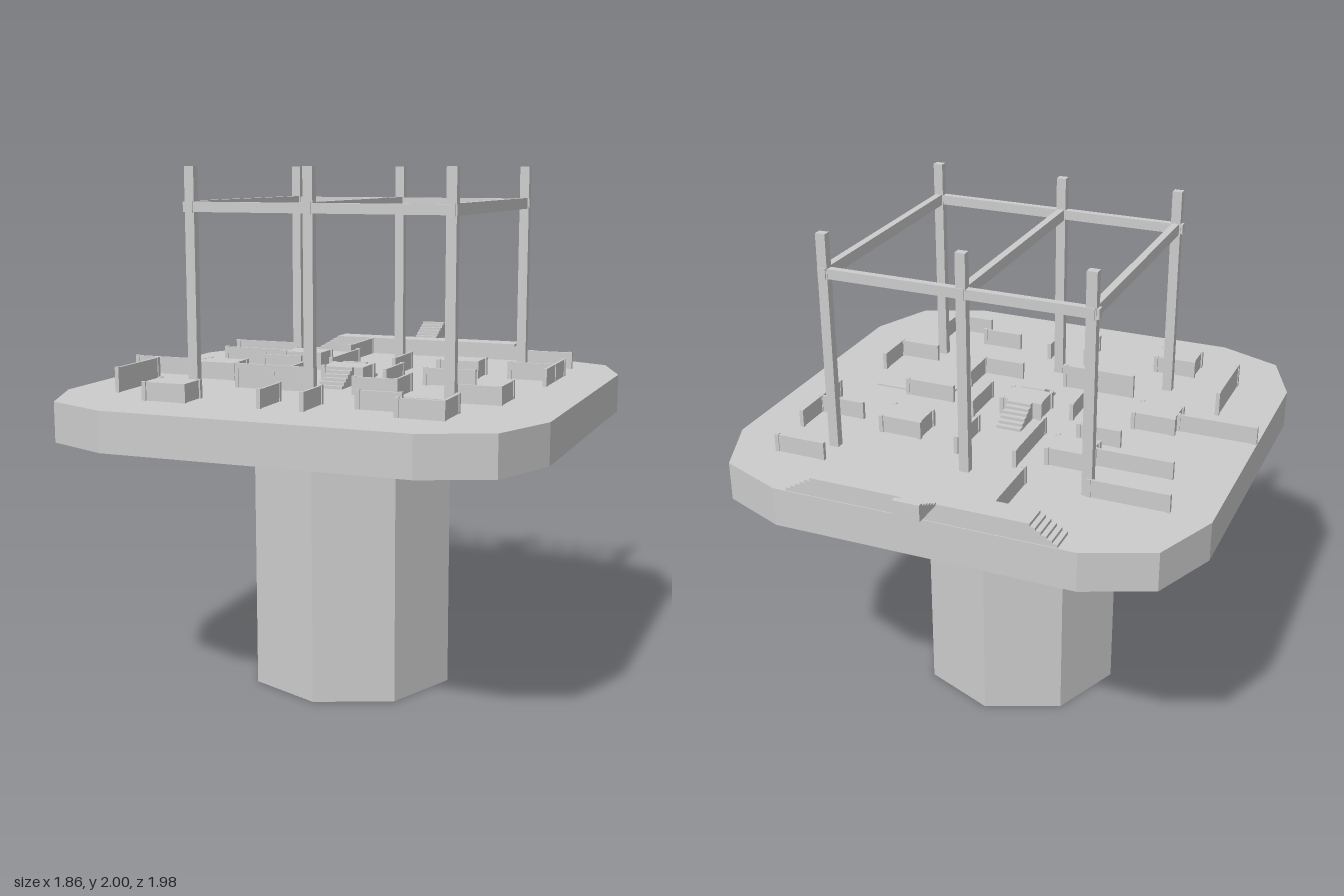
import * as THREE from 'three';

const FLOOR = 1.17, WALL_TOP = 1.24;
const material = new THREE.MeshStandardMaterial({ color: 0xcccccc, flatShading: true });

export function createModel() {
  const model = new THREE.Group();

  const add = (parent, name, geometry) => {
    const mesh = new THREE.Mesh(geometry, material);
    mesh.name = name;
    parent.add(mesh);
    return mesh;
  };
  // Box given by its limits on each axis
  const box = (parent, name, x0, x1, y0, y1, z0, z1) => {
    add(parent, name, new THREE.BoxGeometry(x1 - x0, y1 - y0, z1 - z0))
      .position.set((x0 + x1) / 2, (y0 + y1) / 2, (z0 + z1) / 2);
  };
  const group = (name) => {
    const g = new THREE.Group();
    g.name = name;
    model.add(g);
    return g;
  };

  // Octagonal supporting column
  add(model, 'column', new THREE.CylinderGeometry(0.405, 0.405, 1.02, 8)).position.set(0, 0.51, 0.063);

  // Slab with double-chamfered corners
  const corner = [[0.93, 0.57], [0.825, 0.825], [0.575, 0.93]];
  const mirrored = [...corner].reverse();
  const outline = [
    ...corner,
    ...mirrored.map(([x, y]) => [-x, y]),
    ...corner.map(([x, y]) => [-x, -y]),
    ...mirrored.map(([x, y]) => [x, -y]),
  ].map(([x, y]) => new THREE.Vector2(x, y));
  const slab = add(model, 'slab', new THREE.ExtrudeGeometry(new THREE.Shape(outline),
    { depth: FLOOR - 1.02, bevelEnabled: false }));
  slab.rotation.x = -Math.PI / 2;
  slab.position.set(0, 1.02, 0.056);

  // Overhead frame: six posts joined by beams
  const frame = group('overheadFrame');
  const postX = [-0.472, 0, 0.535], postZ = [-0.487, 0.472];
  for (const x of postX) {
    for (const z of postZ) box(frame, 'post', x - 0.019, x + 0.019, FLOOR, 2, z - 0.016, z + 0.016);
    box(frame, 'crossBeam', x - 0.014, x + 0.014, 1.832, 1.875, -0.508, 0.492);
  }
  for (const z of postZ) box(frame, 'longBeam', -0.5, 0.556, 1.835, 1.872, z - 0.014, z + 0.014);

  // Low walls with a slim stud at each end: [x0, z0, x1, z1, top]
  const walls = group('lowWalls');
  const wall = (x0, z0, x1, z1, top = WALL_TOP) => {
    const t = 0.005, s = 0.008;
    box(walls, 'wall', x0 - t, x1 + t, FLOOR, top - 0.002, z0 - t, z1 + t);
    for (const [x, z] of [[x0, z0], [x1, z1]]) box(walls, 'wallStud', x - s, x + s, FLOOR, top, z - s, z + s);
  };
  [
    [-0.77, -0.5, -0.48, -0.5], [-0.235, -0.77, -0.235, -0.5],
    [-0.71, -0.267, -0.42, -0.267], [-0.455, -0.1, -0.295, -0.1],
    [-0.155, -0.395, -0.155, -0.1], [0.087, -0.375, 0.087, -0.18],
    [0.162, -0.065, 0.162, 0.125], [0.29, 0.027, 0.485, 0.027],
    [0.52, -0.61, 0.71, -0.61], [0.73, -0.395, 0.73, -0.1],
    [0.55, -0.247, 0.73, -0.247], [-0.92, 0.122, -0.62, 0.122],
    [-0.21, 0.053, -0.21, 0.34], [-0.36, 0.34, -0.075, 0.34, 1.265],
    [-0.722, 0.315, -0.722, 0.61, 1.265], [-0.077, 0.58, -0.077, 0.742],
    [0.087, 0.58, 0.087, 0.742], [0.247, 0.628, 0.405, 0.628],
    [0.12, 0.343, 0.285, 0.343], [0.285, 0.19, 0.285, 0.343],
    [0.525, 0.378, 0.688, 0.378], [0.688, 0.22, 0.688, 0.378],
    [0.43, 0.735, 0.595, 0.735], [0.595, 0.58, 0.595, 0.735],
  ].forEach((w) => wall(...w));

  // Square floor plate
  box(model, 'floorPlate', 0.32, 0.643, FLOOR, FLOOR + 0.006, 0.055, 0.363);

  // Small huts with corner studs
  const huts = group('huts');
  for (const [x, z] of [[-0.335, -0.273], [0.347, -0.262], [-0.534, 0.131], [-0.454, 0.681], [-0.016, 0.063]]) {
    box(huts, 'hut', x - 0.082, x + 0.082, FLOOR, WALL_TOP - 0.002, z - 0.06, z + 0.06);
    for (const sx of [-1, 1]) for (const sz of [-1, 1]) {
      const cx = x + sx * 0.08, cz = z + sz * 0.058;
      box(huts, 'hutStud', cx - 0.008, cx + 0.008, FLOOR, WALL_TOP, cz - 0.008, cz + 0.008);
    }
  }

  // Stair flight as an extruded step profile, rising along its local +x
  const stairs = (name, run, rise, width, steps, x, y, z, turn) => {
    const shape = new THREE.Shape().moveTo(0, 0);
    for (let i = 0; i < steps; i++) {
      shape.lineTo((i * run) / steps, ((i + 1) * rise) / steps);
      shape.lineTo(((i + 1) * run) / steps, ((i + 1) * rise) / steps);
    }
    shape.lineTo(run, 0);
    const geometry = new THREE.ExtrudeGeometry(shape, { depth: width, bevelEnabled: false });
    geometry.translate(0, 0, -width / 2);
    const mesh = add(model, name, geometry);
    mesh.position.set(x, y, z);
    mesh.rotation.y = turn;
  };
  const rise = WALL_TOP - FLOOR;
  stairs('frontStairs', 0.125, rise, 0.1, 6, -0.016, FLOOR, 0.252, Math.PI / 2);
  stairs('backStairs', 0.125, rise, 0.1, 6, -0.016, FLOOR, -0.125, -Math.PI / 2);

  // Raised walkway along the back, stairs at both ends and a flight leading outwards
  box(model, 'walkway', -0.385, 0.405, FLOOR, WALL_TOP, -0.87, -0.772);
  stairs('walkwayStairsRight', 0.12, rise, 0.098, 6, -0.505, FLOOR, -0.821, 0);
  stairs('walkwayStairsLeft', 0.12, rise, 0.098, 6, 0.525, FLOOR, -0.821, Math.PI);
  stairs('exitStairs', 0.125, 0.062, 0.1, 6, -0.014, 1.236, -0.868, Math.PI / 2);

  return model;
}
